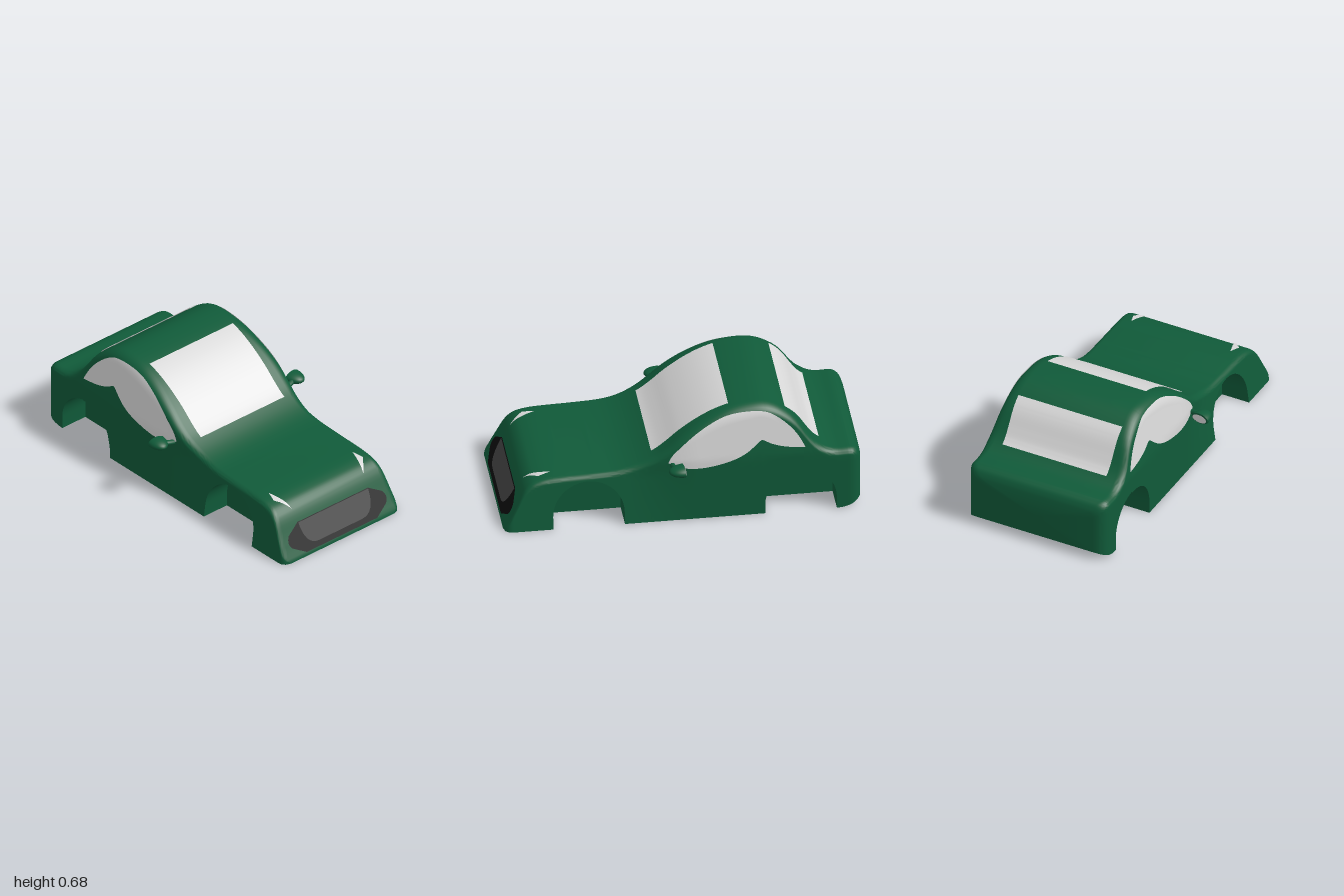
import * as THREE from 'three';
import { toCreasedNormals } from 'three/addons/utils/BufferGeometryUtils.js';

const mat = (name, color, side = THREE.DoubleSide) => {
  const m = new THREE.MeshStandardMaterial({ color, side });
  m.name = name;
  return m;
};

// Smooth height curve y(z) through points listed from front to back
function curve(points) {
  const p = new THREE.SplineCurve(points.map(([z, y]) => new THREE.Vector2(z, y))).getPoints(160);
  return z => {
    if (z >= p[0].x) return p[0].y;
    for (let i = 1; i < p.length; i++) {
      if (z >= p[i].x) {
        const t = (p[i - 1].x - z) / (p[i - 1].x - p[i].x || 1);
        return p[i - 1].y + (p[i].y - p[i - 1].y) * t;
      }
    }
    return p[p.length - 1].y;
  };
}

// Centre-line silhouette: nose, bonnet, roof, tail
const top = curve([[1, 0.004], [0.97, 0.06], [0.93, 0.14], [0.89, 0.22], [0.855, 0.262], [0.81, 0.286],
  [0.72, 0.301], [0.5, 0.309], [0.36, 0.318], [0.25, 0.345], [0.15, 0.393], [0.08, 0.445], [0, 0.515],
  [-0.1, 0.585], [-0.2, 0.637], [-0.3, 0.668], [-0.43, 0.68], [-0.52, 0.66], [-0.6, 0.61], [-0.65, 0.56],
  [-0.7, 0.485], [-0.74, 0.433], [-0.8, 0.39], [-0.86, 0.374], [-0.94, 0.374], [-0.98, 0.355], [-1, 0.315]]);
const floor = z => (z > -0.86 ? 0 : 0.05 * ((z + 0.86) / 0.14) ** 2);
const filletY = z => Math.min(0.03 + Math.max(0, top(z) - 0.3) * 0.08, top(z) * 0.5);

// Half width of the flank, with rounded plan corners at nose and tail
function flank(z, y) {
  const front = 0.43 - 0.14 * Math.min(y, 0.3);
  const rear = 0.43 - 0.16 * Math.max(0, y - 0.38);
  const s = THREE.MathUtils.smoothstep(-z, -0.3, 0.1);
  const r = z > 0 ? 0.05 : 0.07;
  const d = Math.max(0, r - (1 - Math.abs(z)));
  return front + (rear - front) * s - (r - Math.sqrt(Math.max(0, r * r - d * d)));
}
// Half width including the rounded shoulder
function sideX(z, y) {
  const ry = filletY(z), y0 = top(z) - ry;
  if (y <= y0) return flank(z, y);
  const k = Math.min(1, (y - y0) / ry);
  return flank(z, y0) - 1.3 * ry * (1 - Math.sqrt(1 - k * k));
}

// Indexed grid of points, rows along i and columns along j
function grid(rows, closeRing = false, cap = false) {
  const n = rows[0].length, pos = rows.flat(2), idx = [];
  for (let i = 0; i < rows.length - 1; i++) {
    for (let j = 0; j < (closeRing ? n : n - 1); j++) {
      const a = i * n + j, b = i * n + (j + 1) % n, c = a + n, d = b + n;
      idx.push(a, c, b, b, c, d);
    }
  }
  if (cap) {
    const base = (rows.length - 1) * n, centre = pos.length / 3;
    pos.push(0, 0.18, -1);
    for (let j = 0; j < n; j++) idx.push(centre, base + (j + 1) % n, base + j);
  }
  const g = new THREE.BufferGeometry();
  g.setAttribute('position', new THREE.Float32BufferAttribute(pos, 3));
  g.setIndex(idx);
  return toCreasedNormals(g, 0.6);
}

const ARCH_R = 0.2, ARCH_Y = 0.075, FRONT = 0.525, REAR = -0.66, WELL_X = 0.26;

// Lofted shell with wheel wells cut into the flanks
function bodyGeometry() {
  const stations = [];
  const run = (a, b, n) => { for (let i = 0; i <= n; i++) stations.push([a + (b - a) * i / n, 0]); };
  const arch = c => {
    for (let i = 0; i <= 24; i++) {
      const t = Math.PI * i / 24;
      stations.push([c + ARCH_R * Math.cos(t), ARCH_Y + ARCH_R * Math.sin(t)]);
    }
  };
  run(1, FRONT + ARCH_R, 26);
  arch(FRONT);
  run(FRONT - ARCH_R, REAR + ARCH_R, 44);
  arch(REAR);
  run(REAR - ARCH_R, -1, 22);
  const rings = stations.map(([z, h]) => {
    const f = floor(z), low = Math.max(f, h), ry = filletY(z), y0 = Math.max(low, top(z) - ry);
    const half = [[WELL_X, f, z], [WELL_X, low, z]];
    for (let k = 0; k <= 10; k++) {
      const y = low + (y0 - low) * k / 10;
      half.push([flank(z, y), y, z]);
    }
    const cx = flank(z, y0) - 1.3 * ry;
    for (let k = 1; k <= 8; k++) {
      const t = Math.PI / 2 * k / 8;
      half.push([cx + 1.3 * ry * Math.cos(t), y0 + (top(z) - y0) * Math.sin(t), z]);
    }
    return [...half, ...half.slice().reverse().map(([x, y, w]) => [-x, y, w])];
  });
  return grid(rings, true, true);
}

// Thin panel lying on the flank between two height curves
function sidePanel(s, z0, z1, lower, upper, off) {
  const rows = [];
  for (let i = 0; i <= 60; i++) {
    const z = z0 + (z1 - z0) * i / 60, lo = lower(z), hi = Math.max(lo, upper(z)), row = [];
    for (let k = 0; k <= 10; k++) {
      const y = lo + (hi - lo) * k / 10;
      row.push([s * (sideX(z, y) + off), y, z]);
    }
    rows.push(s > 0 ? row : row.reverse());
  }
  return grid(rows);
}

// Thin panel lying on the upper surface between two x limits
function topPanel(z0, z1, xa, xb, off = 0.005) {
  const rows = [];
  for (let i = 0; i <= 24; i++) {
    const z = z0 + (z1 - z0) * i / 24;
    const n = new THREE.Vector2(-(top(z + 0.01) - top(z - 0.01)) / 0.02, 1).normalize();
    rows.push([xb(z), xa(z)].map(x => [x, top(z) + off * n.y, z + off * n.x]));
  }
  return grid(rows);
}

export function createModel() {
  const car = new THREE.Group();
  car.name = 'car';
  const green = mat('green paint', 0x105a39);
  const glass = mat('pale glass', 0xd8d8d8);
  const black = mat('black grille', 0x0d0d0d);
  const grey = mat('dark grey mesh', 0x434343);
  const add = (name, geo, m, parent = car) => {
    const mesh = new THREE.Mesh(geo, m);
    mesh.name = name;
    parent.add(mesh);
    return mesh;
  };

  add('body', bodyGeometry(), green);
  add('windscreen', topPanel(0.16, -0.27, () => -0.308, () => 0.308), glass);
  add('rearWindow', topPanel(-0.58, -0.77, () => -0.325, () => 0.325), glass);

  // Door and side window outlines
  const belt = curve([[0.08, 0.37], [0.03, 0.345], [-0.03, 0.333], [-0.13, 0.333], [-0.25, 0.358], [-0.35, 0.402],
    [-0.42, 0.46], [-0.445, 0.478], [-0.5, 0.45], [-0.58, 0.427], [-0.685, 0.415]]);
  const windowTop = curve([[0.08, 0.372], [0.05, 0.425], [-0.05, 0.52], [-0.15, 0.588], [-0.25, 0.633], [-0.36, 0.65],
    [-0.46, 0.645], [-0.53, 0.612], [-0.6, 0.55], [-0.65, 0.485], [-0.685, 0.416]]);
  const doorFront = curve([[0.185, 0], [0.17, 0.13], [0.13, 0.27], [0.08, 0.37]]);
  const doorTop = z => (z > 0.08 ? doorFront(z) : belt(z));
  const doorBottom = z => {
    const d = Math.abs(z - REAR);
    return d < ARCH_R ? ARCH_Y + Math.sqrt(ARCH_R * ARCH_R - d * d) : 0.008;
  };

  for (const s of [1, -1]) {
    const side = s > 0 ? 'left' : 'right';
    add(side + 'Door', sidePanel(s, 0.183, -0.675, doorBottom, doorTop, 0.005), green);
    add(side + 'Window', sidePanel(s, 0.08, -0.685, belt, windowTop, 0.004), glass);

    // Slanted headlight, widest a third of the way down
    const inner = z => 0.31 - 0.045 * (z - 0.73) / 0.14;
    const outer = z => (z < 0.795 ? 0.31 + 0.02 * (z - 0.73) / 0.065 : 0.33 - 0.065 * (z - 0.795) / 0.075);
    add(side + 'Headlight', s > 0 ? topPanel(0.87, 0.73, inner, outer)
      : topPanel(0.87, 0.73, z => -outer(z), z => -inner(z)), glass);

    // Door mirror: domed shell, flat glass and stalk
    const mirror = new THREE.Group();
    mirror.name = side + 'Mirror';
    mirror.position.set(s * 0.5, 0.37, 0.005);
    mirror.rotation.y = s * 0.12;
    car.add(mirror);
    const shell = new THREE.SphereGeometry(1, 24, 16, 0, Math.PI).scale(0.054, 0.032, 0.085);
    add('mirrorShell', shell, green, mirror);
    const back = new THREE.CircleGeometry(1, 24).rotateY(Math.PI);
    add('mirrorBack', back.clone().scale(0.054, 0.032, 1), green, mirror);
    add('mirrorGlass', back.clone().scale(0.046, 0.025, 1).translate(0, 0, -0.004), glass, mirror);
    const stalk = new THREE.CatmullRomCurve3([new THREE.Vector3(s * 0.4, 0.355, 0.06),
      new THREE.Vector3(s * 0.44, 0.362, 0.055), new THREE.Vector3(s * 0.49, 0.37, 0.04)]);
    add(side + 'MirrorStalk', new THREE.TubeGeometry(stalk, 8, 0.015, 10), green);
  }

  // Grille plates laid on the sloping nose
  const onNose = (shape, off) => {
    const g = new THREE.ShapeGeometry(shape, 8), p = g.attributes.position;
    for (let i = 0; i < p.count; i++) p.setZ(i, 1 - 0.5 * p.getY(i) + off);
    g.computeVertexNormals();
    return g;
  };
  const surround = new THREE.Shape();
  surround.moveTo(-0.26, 0.022).lineTo(0.26, 0.022).lineTo(0.345, 0.07);
  surround.quadraticCurveTo(0.375, 0.1, 0.345, 0.135);
  surround.lineTo(0.26, 0.182).lineTo(-0.26, 0.182).lineTo(-0.345, 0.135);
  surround.quadraticCurveTo(-0.375, 0.1, -0.345, 0.07);
  add('grilleSurround', onNose(surround, 0.006), black);
  const mesh = new THREE.Shape();
  mesh.moveTo(-0.258, 0.18).quadraticCurveTo(-0.255, 0.055, -0.16, 0.053);
  mesh.lineTo(0.16, 0.053).quadraticCurveTo(0.255, 0.055, 0.258, 0.18);
  add('grilleMesh', onNose(mesh, 0.01), grey);
  return car;
}
